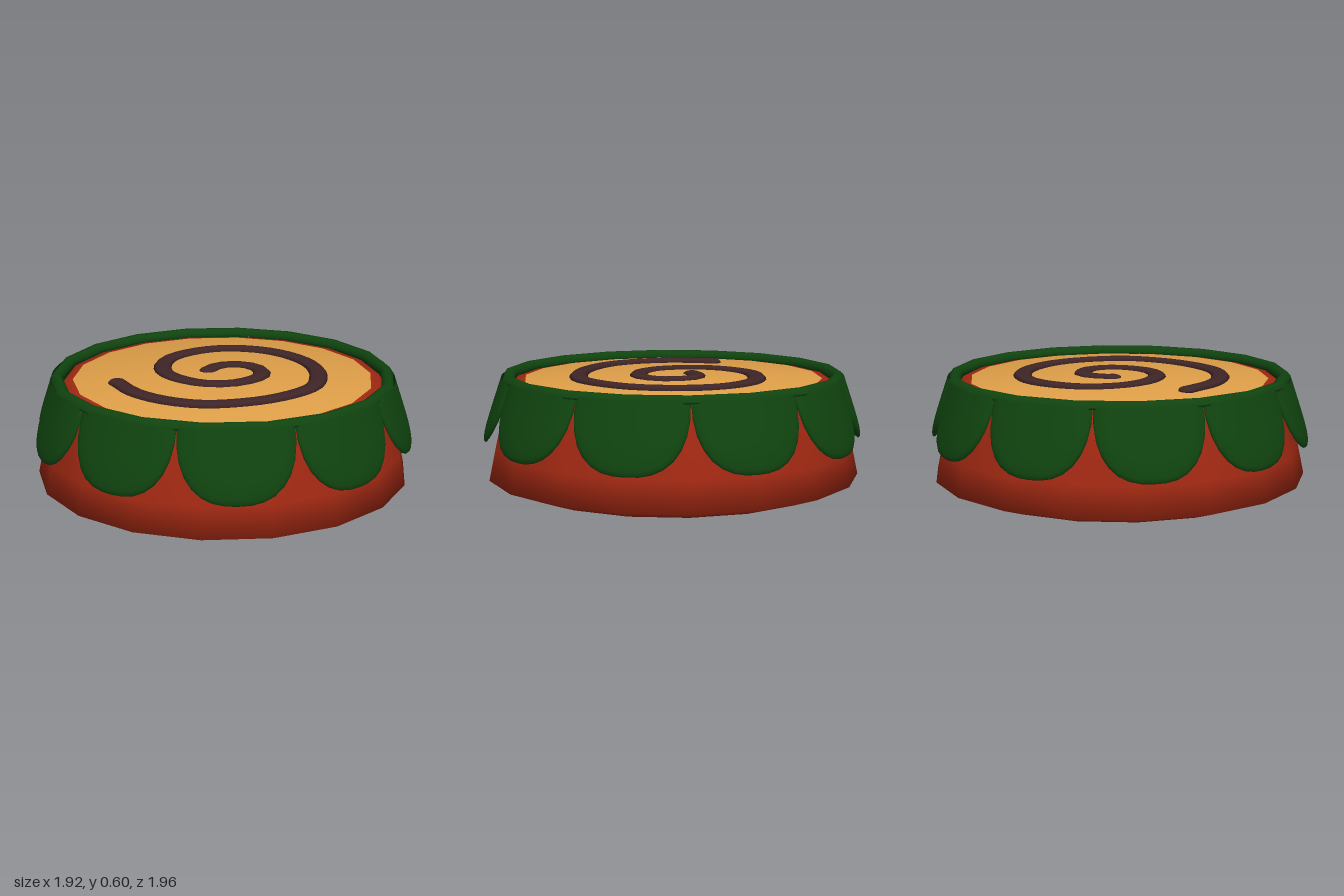
import * as THREE from 'three';

const SIDES = 18, TURN = 0.07;
const mat = (name, color, side = THREE.FrontSide) => {
  const m = new THREE.MeshStandardMaterial({ color, side });
  m.name = name;
  return m;
};

// Round part from a profile of [radius, height] points
const lathe = (pts) => new THREE.LatheGeometry(
  pts.map(([r, y]) => new THREE.Vector2(r, y)), SIDES, TURN, Math.PI * 2);

// Shallow domed disc with softly rounded normals; dir is 1 for up, -1 for down
function disc(radius, rimY, midY, dir) {
  const pts = [[radius, rimY], [radius * 0.5, rimY + (midY - rimY) * 0.75], [0, midY]];
  const geo = lathe(dir > 0 ? pts : pts.reverse());
  const p = geo.attributes.position, n = geo.attributes.normal, v = new THREE.Vector3();
  for (let i = 0; i < p.count; i++) {
    v.set(p.getX(i) * 0.3, dir, p.getZ(i) * 0.3).normalize();
    n.setXYZ(i, v.x, v.y, v.z);
  }
  return geo;
}

// Scalloped petal hanging outwards from the collar: outer and inner skins
function petal(center) {
  const NU = 16, NV = 8, top = 0.58, drop = 0.34;
  const pos = [], idx = [];
  for (let skin = 0; skin < 2; skin++) {
    const base = pos.length / 3;
    for (let j = 0; j <= NV; j++) {
      const v = Math.sin((j / NV) * Math.PI / 2);
      for (let i = 0; i <= NU; i++) {
        const u = Math.sin((i / NU - 0.5) * Math.PI);
        const depth = drop * Math.pow(Math.max(0, 1 - Math.pow(Math.abs(u), 2.6)), 1 / 2.2);
        const y = top - depth * v;
        const thick = 0.04 * Math.sqrt(Math.max(0, 1 - v ** 6)) * Math.sqrt(Math.max(0, 1 - u ** 6));
        const r = 0.855 + 0.115 * (top - y) / drop + (skin ? -0.3 : 0.7) * thick;
        let a = center + u * Math.PI / 10;
        a -= 0.04 * Math.cos(a);
        pos.push(Math.sin(a) * r, y, Math.cos(a) * r);
      }
    }
    for (let j = 0; j < NV; j++) for (let i = 0; i < NU; i++) {
      const a = base + j * (NU + 1) + i, b = a + 1, c = a + NU + 1, d = c + 1;
      if (skin) idx.push(a, b, c, b, d, c);
      else idx.push(a, c, b, b, c, d);
    }
  }
  const geo = new THREE.BufferGeometry();
  geo.setAttribute('position', new THREE.Float32BufferAttribute(pos, 3));
  geo.setIndex(idx);
  geo.computeVertexNormals();
  return geo;
}

export function createModel() {
  const red = mat('red', 0xa02812, THREE.DoubleSide);
  const green = mat('green', 0x10440f, THREE.DoubleSide);
  const tan = mat('tan', 0xdf9f48);
  const brown = mat('brown', 0x3f2527);
  const model = new THREE.Group();
  const add = (name, geo, material, parent = model) => {
    const mesh = new THREE.Mesh(geo, material);
    mesh.name = name;
    parent.add(mesh);
    return mesh;
  };

  // Drum-shaped body, flaring towards the bottom
  add('body', lathe([[0.82, 0.02], [0.962, 0.07], [0.93, 0.22], [0.89, 0.36],
    [0.845, 0.51], [0.815, 0.56], [0.77, 0.567]]), red);
  add('topDisc', disc(0.775, 0.566, 0.58, 1), tan);
  add('bottomDisc', disc(0.825, 0.02, 0, -1), tan);

  // Green collar and its ten petals
  add('collar', lathe([[0.825, 0.565], [0.885, 0.565], [0.885, 0.575], [0.868, 0.6],
    [0.845, 0.6], [0.825, 0.585], [0.825, 0.565]]), green);
  const petals = new THREE.Group();
  petals.name = 'petals';
  model.add(petals);
  for (let i = 0; i < 10; i++) add('petal', petal(i * Math.PI / 5), green, petals);

  // Flattened spiral bead on top
  const path = [[-0.1, -0.02], [-0.1, -0.08], [-0.06, -0.16], [0.02, -0.195], [0.12, -0.17],
    [0.18, -0.09], [0.185, 0], [0.13, 0.12], [0.03, 0.19], [-0.08, 0.2], [-0.22, 0.16],
    [-0.33, 0.06], [-0.39, -0.1], [-0.36, -0.26], [-0.27, -0.4], [-0.13, -0.48], [0.03, -0.5],
    [0.21, -0.45], [0.35, -0.35], [0.45, -0.2], [0.5, -0.02], [0.44, 0.2], [0.32, 0.37],
    [0.16, 0.49], [-0.04, 0.525], [-0.22, 0.49], [-0.39, 0.39]]
    .map(([x, z]) => new THREE.Vector3(x, 0, z));
  const spiral = new THREE.Group();
  spiral.name = 'spiral';
  spiral.position.y = 0.577;
  spiral.scale.y = 0.42;
  model.add(spiral);
  add('spiralBead', new THREE.TubeGeometry(new THREE.CatmullRomCurve3(path), 60, 0.047, 8), brown, spiral);
  for (const end of [path[0], path[path.length - 1]]) {
    add('spiralEnd', new THREE.SphereGeometry(0.047, 10, 8), brown, spiral).position.copy(end);
  }
  return model;
}
